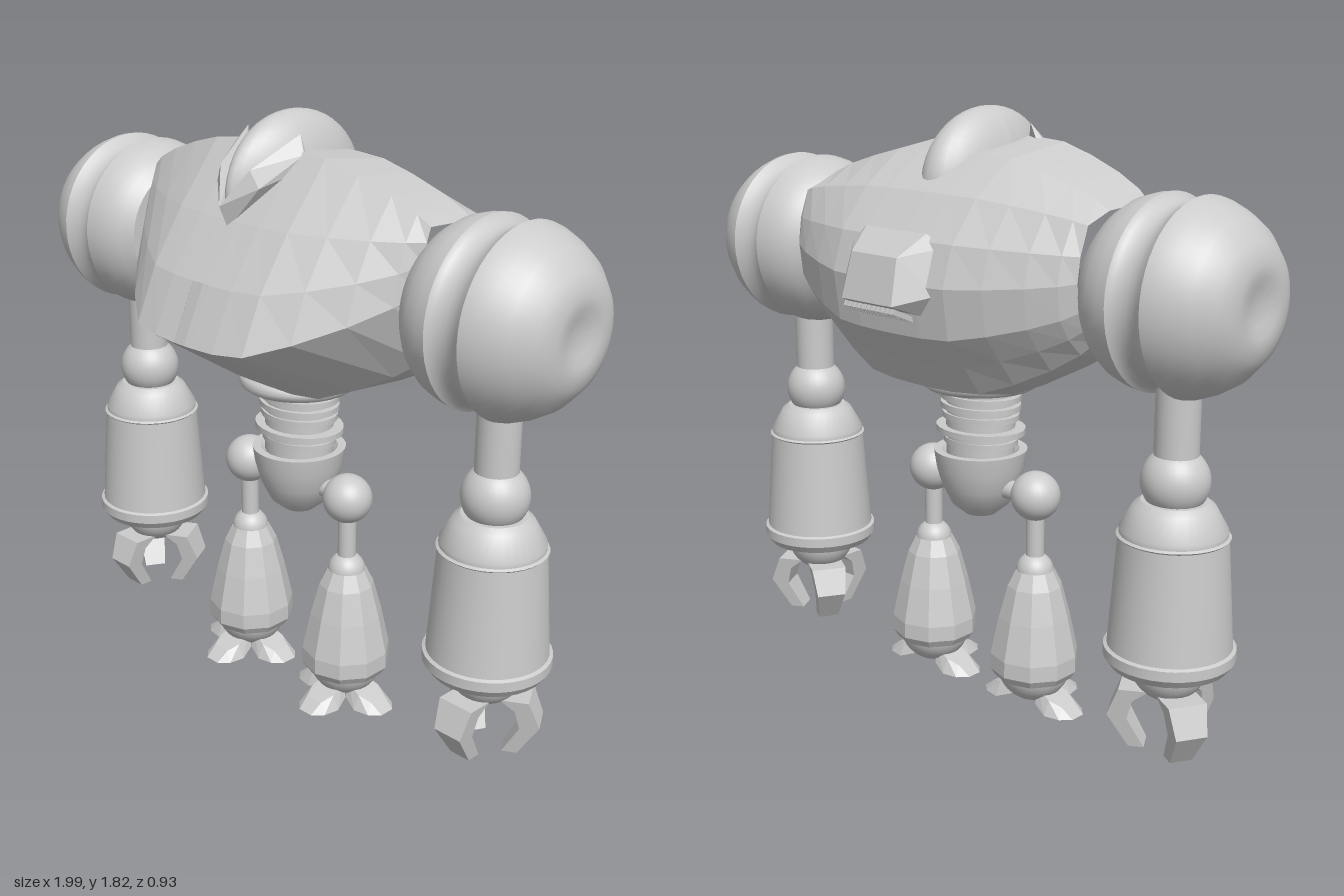
import * as THREE from 'three';
import { toCreasedNormals } from 'three/addons/utils/BufferGeometryUtils.js';
import { ConvexGeometry } from 'three/addons/geometries/ConvexGeometry.js';

const smooth = new THREE.MeshStandardMaterial({ color: 0xcccccc, side: THREE.DoubleSide });
const flat = new THREE.MeshStandardMaterial({ color: 0xcccccc, flatShading: true });
const inside = new THREE.MeshStandardMaterial({ color: 0xcccccc, side: THREE.BackSide });

function add(parent, name, geometry, x = 0, y = 0, z = 0, material = smooth) {
  const mesh = new THREE.Mesh(geometry, material);
  mesh.name = name;
  mesh.position.set(x, y, z);
  parent.add(mesh);
  return mesh;
}

// Profile as [radius, height] pairs
function lathe(points, sides = 36) {
  const g = new THREE.LatheGeometry(points.map(p => new THREE.Vector2(...p)), sides);
  return toCreasedNormals(g, 0.6);
}

const hull = pts => new ConvexGeometry(pts.map(p => new THREE.Vector3(...p)));
const ball = r => new THREE.SphereGeometry(r, 28, 18);
const rod = (r, h) => new THREE.CylinderGeometry(r, r, h, 24);

// Torso: a middle outline blended into an end outline, both as [z, y]
function torsoGeometry() {
  const middle = [[.12, 1.735], [-.12, 1.70], [-.26, 1.6], [-.36, 1.48], [-.4, 1.36], [-.38, 1.21], [-.31, 1.12],
    [-.25, 1.03], [-.1, 1.0], [.15, 1.02], [.46, 1.22], [.385, 1.385], [.275, 1.545]];
  const end = [[.07, 1.59], [-.1, 1.58], [-.19, 1.55], [-.22, 1.47], [-.23, 1.4], [-.22, 1.32], [-.19, 1.27],
    [-.14, 1.23], [-.08, 1.22], [0, 1.24], [.09, 1.42], [.09, 1.49], [.085, 1.55]];
  const half = [[.035, 1], [.12, .99], [.22, .94], [.33, .73], [.44, .46], [.52, .2], [.56, 0]];
  const sections = [...half.map(([x, k]) => [-x, k]).reverse(), ...half];
  const n = middle.length, pos = [], idx = [];
  for (const [x, k] of sections)
    middle.forEach(([z, y], j) => {
      const [ez, ey] = end[j];
      pos.push(x, ey + (y - ey) * k, ez + (z - ez) * k);
    });
  for (let i = 0; i < sections.length - 1; i++)
    for (let j = 0; j < n; j++) {
      if (i === half.length - 1 && j === 10) continue; // opening for the front slot
      const a = i * n + j, c = i * n + (j + 1) % n;
      idx.push(a, a + n, c, a + n, c + n, c);
    }
  const g = new THREE.BufferGeometry();
  g.setAttribute('position', new THREE.Float32BufferAttribute(pos, 3));
  g.setIndex(idx);
  g.computeVertexNormals();
  return g;
}

function buildTorso(root) {
  const torso = new THREE.Group();
  torso.name = 'torso';
  root.add(torso);
  add(torso, 'torsoShell', torsoGeometry(), 0, 0, 0, flat);
  const slot = add(torso, 'frontSlot', new THREE.BoxGeometry(.07, .181, .04), 0, 1.294, .404, inside);
  slot.rotation.x = -.427;

  // Back hood with slats under it
  const hood = [];
  for (const s of [-1, 1])
    hood.push([s * .1, 1.31, -.468], [s * .09, 1.44, -.435], [s * .12, 1.5, -.35], [s * .19, 1.47, -.33],
      [s * .19, 1.34, -.375], [s * .15, 1.26, -.34]);
  add(torso, 'backHood', hull(hood), 0, 0, 0, flat);
  for (let i = -5; i <= 5; i++) {
    const slat = add(torso, 'ventSlat', new THREE.BoxGeometry(.01, .015, .085), i * .019, 1.278, -.42, flat);
    slat.rotation.x = .42;
  }
  const collar = add(torso, 'waistCollar', new THREE.TorusGeometry(.16, .025, 10, 36), 0, 1.01, 0);
  collar.rotation.x = Math.PI / 2;
}

function buildHead(root) {
  const head = new THREE.Group();
  head.name = 'head';
  root.add(head);
  // Dome pinched towards the front
  const g = new THREE.SphereGeometry(1, 32, 24), p = g.attributes.position;
  for (let i = 0; i < p.count; i++) {
    const f = Math.max(0, p.getZ(i));
    p.setXYZ(i, p.getX(i) * .115 * (1 - .5 * f * f), p.getY(i) * .222, p.getZ(i) * .255);
  }
  g.computeVertexNormals();
  add(head, 'headDome', g, 0, 1.602, .03);
  for (const s of [-1, 1]) {
    const pts = [[.14, 1.725, .12], [.105, 1.775, .1], [.085, 1.64, .24], [.06, 1.69, .25], [0, 1.52, .28],
      [0, 1.59, .312], [.145, 1.69, .1], [.05, 1.6, .2], [0, 1.56, .2]];
    add(head, 'visorPlate', hull(pts.map(([x, y, z]) => [s * x, y, z])), 0, 0, 0, flat);
  }
}

function buildWaist(root) {
  const waist = new THREE.Group();
  waist.name = 'waist';
  root.add(waist);
  add(waist, 'waistCore', rod(.112, .3), 0, .92, 0).scale.z = .9;
  for (const [y, r] of [[.985, .13], [.955, .135], [.925, .135], [.895, .13], [.85, .15], [.815, .125]])
    add(waist, 'waistRing', rod(r, .018), 0, y, 0).scale.z = .82;
  add(waist, 'pelvis', lathe([[0, .575], [.05, .577], [.09, .61], [.12, .67], [.137, .73], [.145, .785], [.12, .785], [.1, .76], [0, .76]]));
  const axle = add(waist, 'hipAxle', rod(.03, .4), 0, .675, 0);
  axle.rotation.z = Math.PI / 2;
}

// Bent finger drawn in (outward, height) and given a width
function clawGeometry() {
  const shape = new THREE.Shape([[.05, .235], [.135, .235], [.168, .15], [.105, .05], [.06, .05], [.11, .14], [.095, .2]]
    .map(p => new THREE.Vector2(...p)));
  const g = new THREE.ExtrudeGeometry(shape, { depth: 1, bevelEnabled: false });
  const p = g.attributes.position;
  for (let i = 0; i < p.count; i++) p.setZ(i, (p.getZ(i) - .5) * (.055 + p.getY(i) * .26));
  return g;
}

function buildArm(root, s) {
  const arm = new THREE.Group();
  arm.name = s > 0 ? 'leftArm' : 'rightArm';
  arm.position.set(s * .747, 0, -.02);
  root.add(arm);
  // Shoulder turned about the x axis, grooved around the middle
  const shoulder = add(arm, 'shoulder', lathe([[0, -.195], [.2, -.195], [.23, -.165], [.255, -.125], [.268, -.08], [.272, -.05],
    [.258, -.04], [.248, -.02], [.245, 0], [.248, .02], [.258, .04], [.272, .06], [.268, .08], [.25, .125],
    [.22, .175], [.17, .223], [.14, .238], [.11, .246], [.08, .246], [.05, .236], [0, .232]], 48), 0, 1.365, 0);
  shoulder.rotation.z = -s * Math.PI / 2;
  add(arm, 'upperArm', rod(.063, .26), 0, 1.02, 0);
  add(arm, 'elbow', ball(.098), 0, .85, 0);
  add(arm, 'forearm', lathe([[0, .795], [.095, .795], [.115, .78], [.152, .715], [.152, .7], [.16, .695], [.155, .69], [.178, .37],
    [.188, .365], [.188, .335], [.17, .31], [.1, .305], [0, .305]]));
  add(arm, 'wrist', ball(.112), 0, .31, 0);
  // One claw to the front, two to the back corners
  for (let i = 0; i < 3; i++)
    add(arm, 'claw', clawGeometry(), 0, 0, 0, flat).rotation.y = -Math.PI / 2 + i * Math.PI * 2 / 3;
}

function buildLeg(root, s) {
  const leg = new THREE.Group();
  leg.name = s > 0 ? 'leftLeg' : 'rightLeg';
  leg.position.set(s * .217, 0, .01);
  root.add(leg);
  add(leg, 'hipBall', ball(.076), 0, .675, 0);
  add(leg, 'thigh', rod(.028, .2), 0, .54, 0);
  add(leg, 'kneeBall', ball(.058), 0, .435, 0);
  add(leg, 'shin', new THREE.LatheGeometry([[0, .44], [.06, .44], [.085, .39], [.112, .29], [.138, .17], [.138, .12], [.122, .095], [0, .095]]
    .reverse().map(p => new THREE.Vector2(...p)), 10), 0, 0, 0, flat);
  add(leg, 'ankle', ball(.115), 0, .125, 0);
  // Three spread toes: front and both sides
  const toe = [];
  for (const w of [-1, 1])
    toe.push([w * .035, .065, .05], [w * .05, .02, .05], [w * .045, .045, .1], [w * .065, .0, .1], [w * .055, 0, .15], [w * .03, .03, .14], [w * .025, 0, .18]);
  for (const a of [-1, 0, 1])
    add(leg, 'toe', hull(toe), 0, 0, 0, flat).rotation.y = a * Math.PI / 2;
}

export function createModel() {
  const root = new THREE.Group();
  root.name = 'robot';
  buildTorso(root);
  buildHead(root);
  buildWaist(root);
  for (const s of [-1, 1]) {
    buildArm(root, s);
    buildLeg(root, s);
  }
  return root;
}
